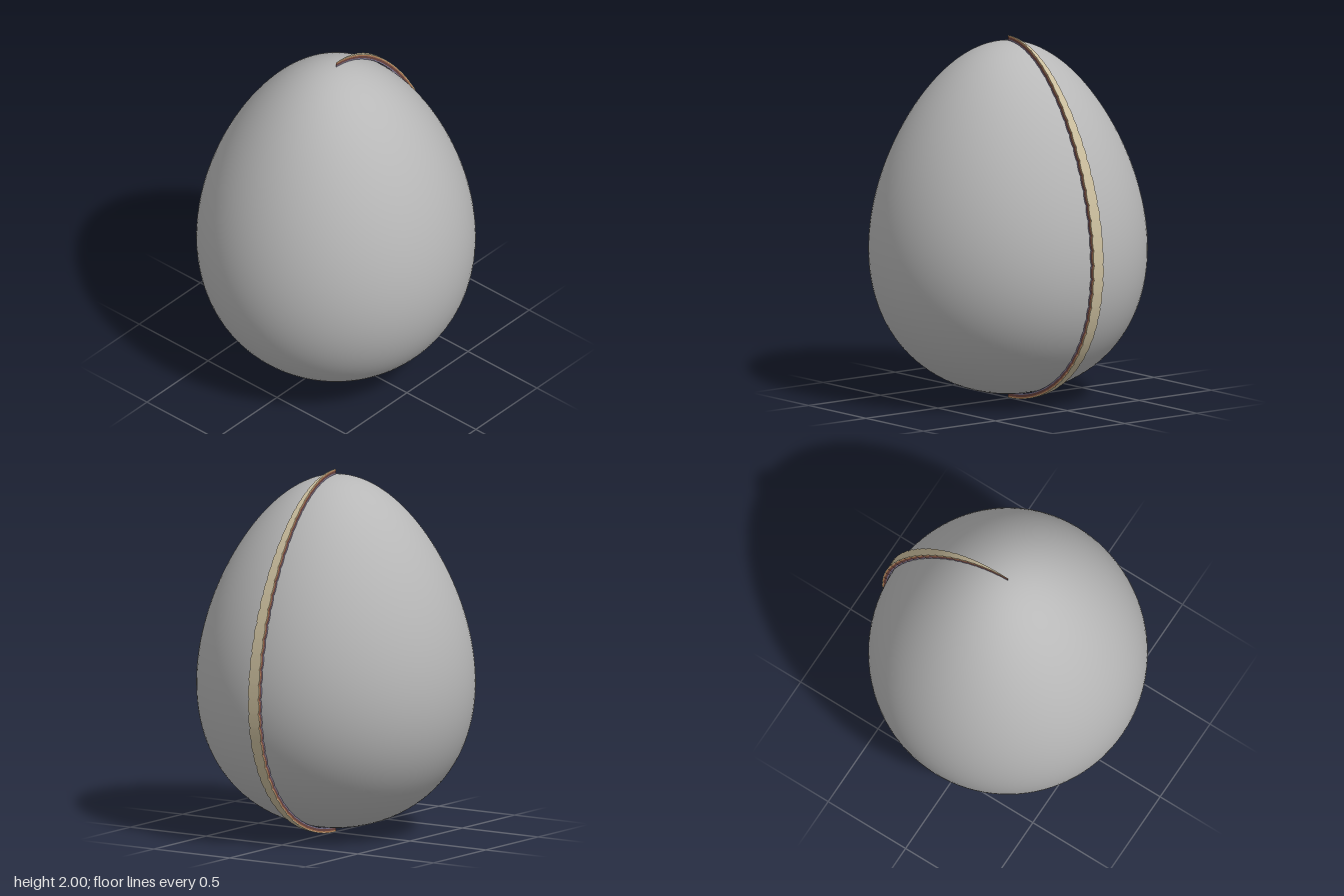
import * as THREE from 'three';

const CX = -0.017, HALF = 0.968, R = 0.746, K = 0.193;
const SCALLOPS = 38, STEPS = 8, SPREAD = 0.0455;

const mat = (name, color, side = THREE.DoubleSide) => {
  const m = new THREE.MeshStandardMaterial({ color, side });
  m.name = name;
  return m;
};

// Egg profile [radius, height], pushed out along its normal; t runs top to bottom
function profile(t, offset = 0) {
  const r = R * Math.sin(t) * (1 - K * Math.cos(t));
  const dr = R * (Math.cos(t) - K * Math.cos(2 * t));
  const dy = -HALF * Math.sin(t);
  const len = Math.hypot(dr, dy);
  return [Math.max(0, r - (dy / len) * offset), 1 + HALF * Math.cos(t) + (dr / len) * offset];
}

// Half angle of the strip, with rounded bulges between notches
const halfAngle = (t) =>
  SPREAD * (0.8 + 0.2 * Math.sqrt(Math.abs(Math.sin((t / Math.PI) * SCALLOPS * Math.PI))));

// Ribbon along the meridian between two edges given as [offset, side, ...]
function ribbon(a, b) {
  const pos = [], idx = [];
  const n = SCALLOPS * STEPS;
  for (let i = 0; i <= n; i++) {
    const t = (i / n) * Math.PI;
    for (const [offset, side] of [a, b]) {
      const [r, y] = profile(t, offset);
      const ang = side * halfAngle(t);
      pos.push(CX + r * Math.cos(ang), y, r * Math.sin(ang));
    }
    if (i < n) {
      const k = i * 2;
      idx.push(k, k + 1, k + 2, k + 1, k + 3, k + 2);
    }
  }
  const g = new THREE.BufferGeometry();
  g.setAttribute('position', new THREE.Float32BufferAttribute(pos, 3));
  g.setIndex(idx);
  g.computeVertexNormals();
  return g;
}

export function createModel() {
  const group = new THREE.Group();
  const add = (name, geometry, material) => {
    const mesh = new THREE.Mesh(geometry, material);
    mesh.name = name;
    group.add(mesh);
    return mesh;
  };

  // Smooth egg body, lathed from bottom to top
  const points = [];
  for (let i = 0; i <= 64; i++) {
    points.push(new THREE.Vector2(...profile(Math.PI * (1 - i / 64))));
  }
  const grey = mat('shell grey', 0xb8b8b8, THREE.FrontSide);
  add('eggBody', new THREE.LatheGeometry(points, 96), grey).position.x = CX;

  // Scalloped strip: outer skin and inner lining
  const beige = mat('beige skin', 0xcabd9d);
  const lavender = mat('lavender lining', 0x77708c);
  add('stripOuterSkin', ribbon([0.032, 1], [0.032, -1]), beige);
  add('stripLining', ribbon([0.002, 1], [0.002, -1]), lavender);

  // Coloured layers on both cut sides of the strip
  const layers = [
    ['lavenderLayer', 0.002, 0.009, lavender],
    ['maroonLayer', 0.009, 0.021, mat('maroon', 0x69433f)],
    ['orangeLayer', 0.021, 0.028, mat('burnt orange', 0xa9754f)],
    ['beigeLayer', 0.028, 0.032, beige],
  ];
  for (const side of [1, -1]) {
    for (const [name, inner, outer, material] of layers) {
      add(name + (side > 0 ? 'Front' : 'Back'), ribbon([inner, side], [outer, side]), material);
    }
  }
  return group;
}
